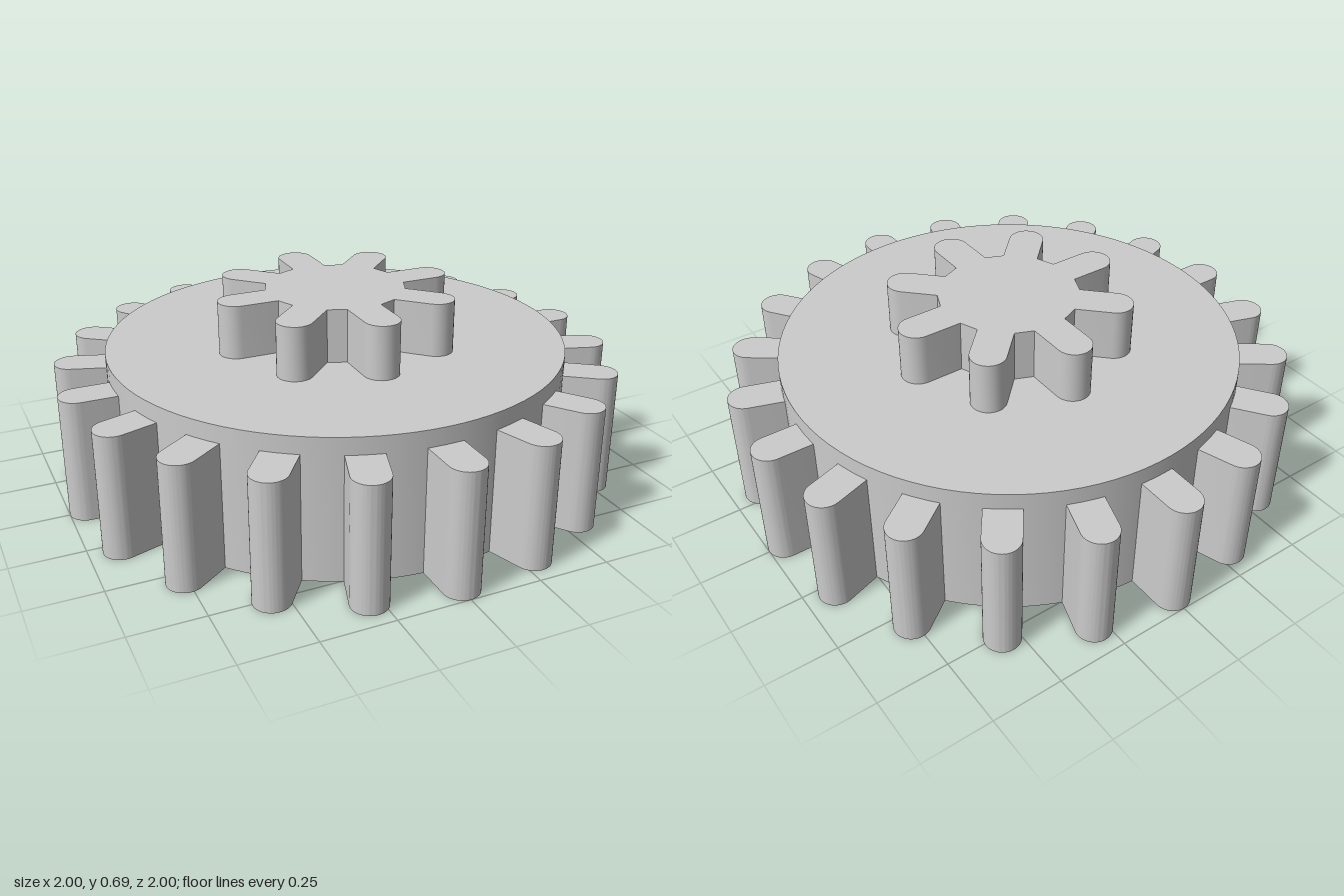
import * as THREE from 'three';
import { toCreasedNormals } from 'three/addons/utils/BufferGeometryUtils.js';

const material = new THREE.MeshStandardMaterial({ color: 0xcccccc });
const HALF = 0.0625; // half the width of every tooth

// Extrude a plan shape upwards, keeping the rounded tips smooth
function extrudeUp(shape, height, y) {
  const geometry = new THREE.ExtrudeGeometry(shape, { depth: height, bevelEnabled: false, curveSegments: 16 });
  geometry.rotateX(-Math.PI / 2);
  geometry.translate(0, y, 0);
  return toCreasedNormals(geometry, 0.5);
}

function named(name, geometry) {
  const mesh = new THREE.Mesh(geometry, material);
  mesh.name = name;
  return mesh;
}

export function createModel() {
  const model = new THREE.Group();
  model.name = 'doubleGear';

  // Hollow drum, open underneath, with a thin top plate
  const profile = [[0, 0.44], [0.695, 0.44], [0.695, 0], [0.815, 0], [0.815, 0.5], [0, 0.5]]
    .map(([r, y]) => new THREE.Vector2(r, y));
  model.add(named('drum', toCreasedNormals(new THREE.LatheGeometry(profile, 96), 0.5)));

  // Twenty round-ended outer teeth
  const outline = new THREE.Shape();
  outline.moveTo(0.8, -HALF);
  outline.lineTo(1 - HALF, -HALF);
  outline.absarc(1 - HALF, 0, HALF, -Math.PI / 2, Math.PI / 2, false);
  outline.lineTo(0.8, HALF);
  outline.closePath();
  const toothGeometry = extrudeUp(outline, 0.44, 0);
  const outerTeeth = new THREE.Group();
  outerTeeth.name = 'outerTeeth';
  for (let i = 0; i < 20; i++) {
    const tooth = named('outerTooth', toothGeometry);
    tooth.rotation.y = (i * Math.PI) / 10;
    outerTeeth.add(tooth);
  }
  model.add(outerTeeth);

  // Small eight-toothed gear on top, as one outline
  const root = 0.24, tip = 0.435 - HALF;
  const points = [];
  const centre = new THREE.Vector2();
  for (let i = 0; i < 8; i++) {
    const angle = (i * Math.PI) / 4;
    const put = (x, y) => points.push(new THREE.Vector2(x, y).rotateAround(centre, angle));
    put(root, -HALF);
    for (let k = 0; k <= 16; k++) {
      const a = -Math.PI / 2 + (k * Math.PI) / 16;
      put(tip + HALF * Math.cos(a), HALF * Math.sin(a));
    }
    put(root, HALF);
  }
  model.add(named('pinion', extrudeUp(new THREE.Shape(points), 0.19, 0.5)));

  return model;
}
